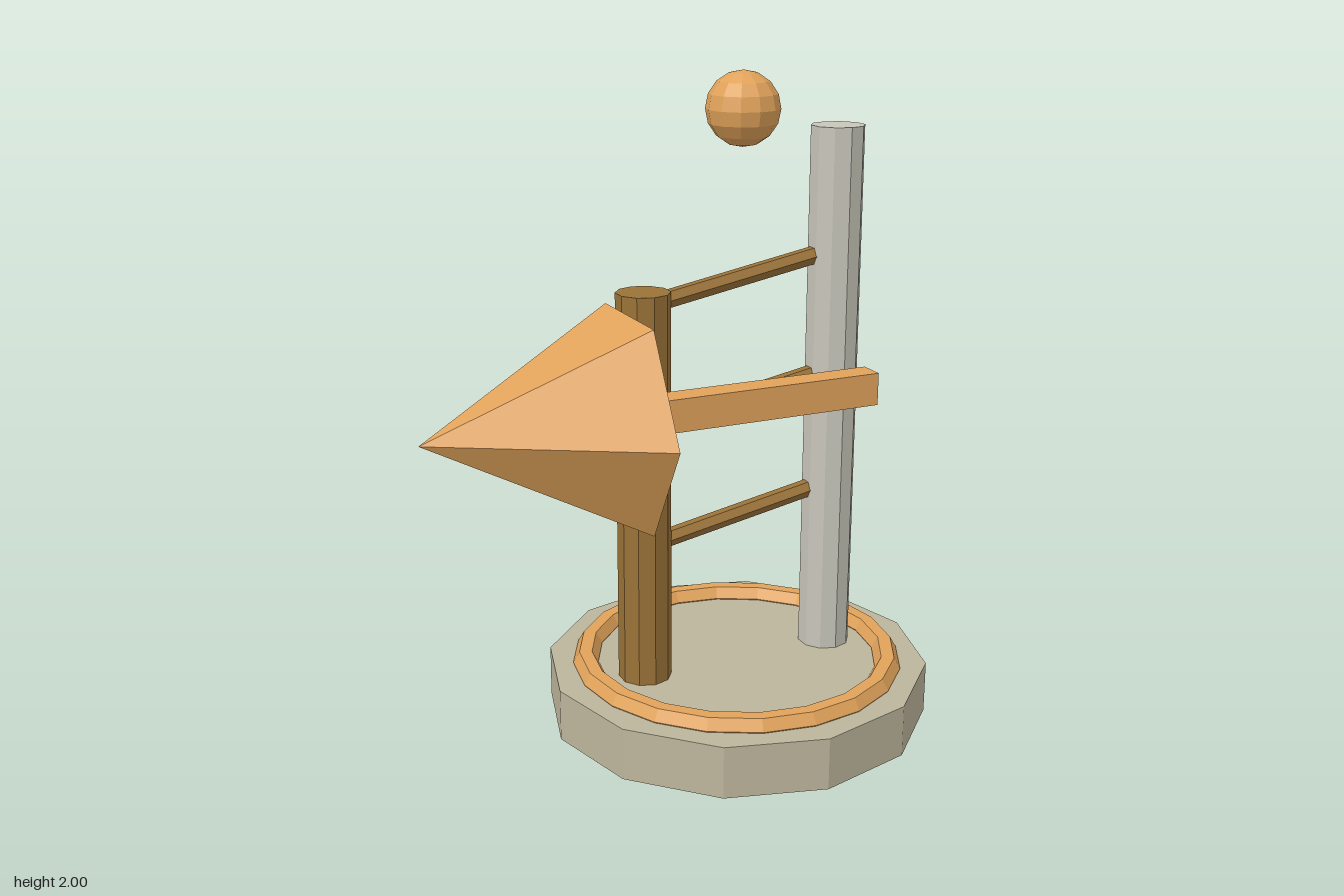
import * as THREE from 'three';

const material = (color) => new THREE.MeshStandardMaterial({ color, flatShading: true });

export function createModel() {
  const model = new THREE.Group();
  const stone = material(0xbdb59c);
  const gold = material(0xe0a25a);
  const wood = material(0x9a7238);
  const paleGrey = material(0xc8c6ba);

  const add = (name, geometry, mat, x, y, z) => {
    const mesh = new THREE.Mesh(geometry, mat);
    mesh.name = name;
    mesh.position.set(x, y, z);
    model.add(mesh);
    return mesh;
  };

  const midX = 0.22; // centre line of the base and ladder
  const baseTop = 0.163;

  // Round base with a raised ring
  add('base', new THREE.CylinderGeometry(0.6, 0.6, baseTop, 12), stone, midX, baseTop / 2, 0);
  add('baseRing', new THREE.TorusGeometry(0.48, 0.04, 6, 20), gold, midX, 0.167, 0)
    .rotation.x = Math.PI / 2;

  // Short and tall posts
  const addPost = (name, mat, x, top) => {
    const height = top - baseTop;
    add(name, new THREE.CylinderGeometry(0.082, 0.082, height, 10), mat, x, baseTop + height / 2, 0);
  };
  addPost('shortPost', wood, -0.097, 1.38);
  addPost('tallPost', paleGrey, 0.537, 1.828);

  // Slanted rungs between the posts
  const slant = Math.atan(0.185);
  for (let i = 0; i < 3; i++) {
    const rung = add('rung' + (i + 1), new THREE.CylinderGeometry(0.028, 0.028, 0.64, 6), wood,
      midX, 0.65 + i * 0.373, 0);
    rung.rotation.z = slant - Math.PI / 2;
  }

  // Arrow: square shaft and six-sided head pointing along -x
  add('arrowShaft', new THREE.BoxGeometry(0.8, 0.1, 0.082), gold, 0.2, 1.05, 0.137);
  add('arrowHead', new THREE.ConeGeometry(0.346, 0.62, 6), gold, -0.51, 1.05, 0.137)
    .rotation.z = Math.PI / 2;

  // Floating ball
  add('ball', new THREE.SphereGeometry(0.11, 12, 8), gold, midX, 1.89, 0);

  return model;
}
